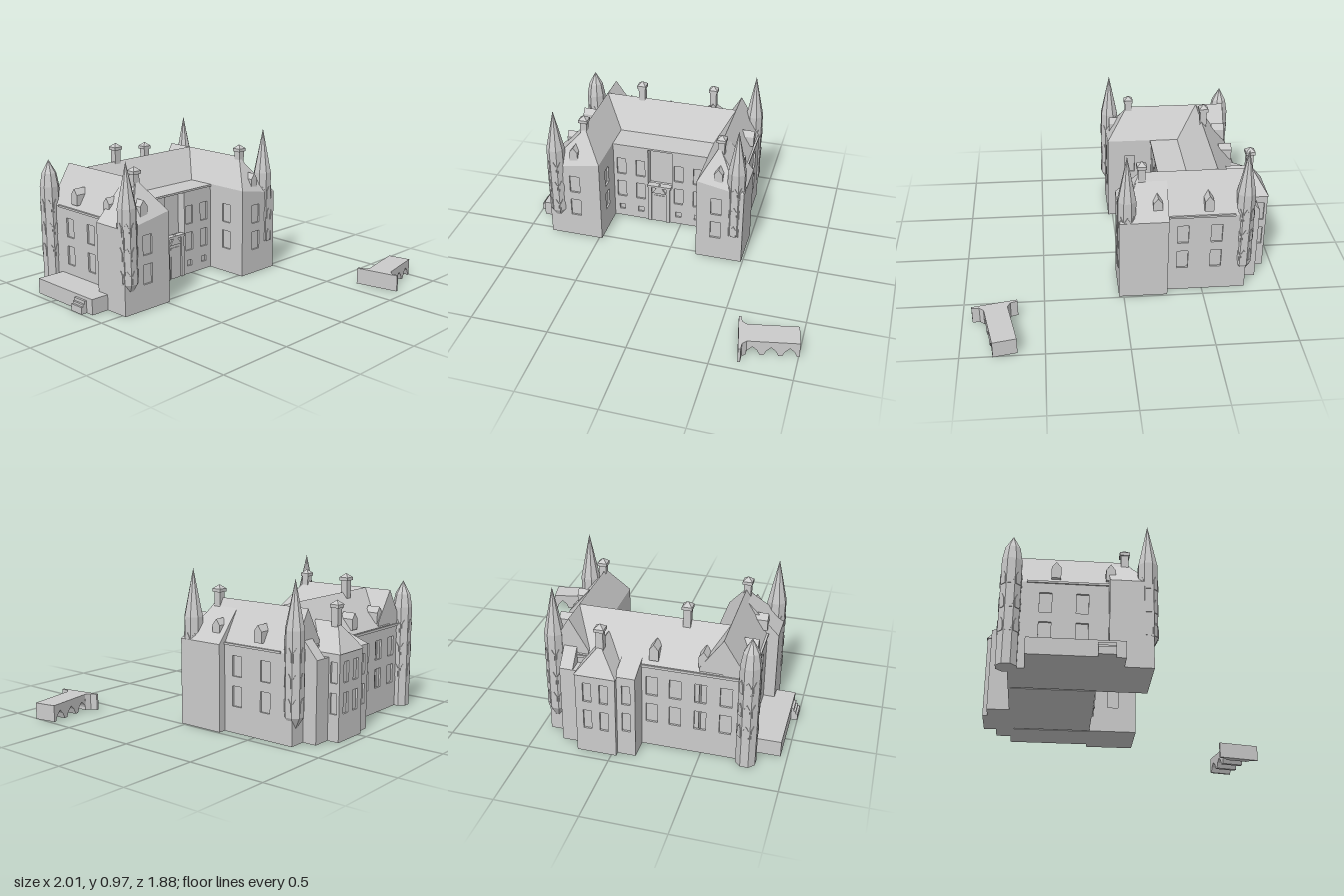
import * as THREE from 'three';
import { ConvexGeometry } from 'three/addons/geometries/ConvexGeometry.js';

export function createModel() {
  const model = new THREE.Group();
  const mat = new THREE.MeshStandardMaterial({ color: 0xcccccc, flatShading: true, side: THREE.DoubleSide });
  const D = 0.012; // window recess

  const add = (name, geo, parent = model) => {
    const m = new THREE.Mesh(geo, mat);
    m.name = name;
    parent.add(m);
    return m;
  };
  const box = (name, x0, x1, y0, y1, z0, z1) => {
    const m = add(name, new THREE.BoxGeometry(x1 - x0, y1 - y0, z1 - z0));
    m.position.set((x0 + x1) / 2, (y0 + y1) / 2, (z0 + z1) / 2);
    return m;
  };
  const hull = (name, pts) => add(name, new ConvexGeometry(pts.map(p => new THREE.Vector3(...p))));
  const poly = pts => new THREE.Shape(pts.map(p => new THREE.Vector2(...p)));
  const extrude = (shape, depth) => new THREE.ExtrudeGeometry(shape, { depth, bevelEnabled: false });
  const rect = (u, y, w, h) => [[u - w / 2, y], [u + w / 2, y], [u + w / 2, y + h], [u - w / 2, y + h]];

  // Two floors of windows at each position along a wall
  const floors = (us, w = 0.07) => us.flatMap(u => [rect(u, 0.165, w, 0.125), rect(u, 0.35, w, 0.125)]);

  // Wall skin from a to b (x, z), left to right as seen from outside
  const wall = (name, a, b, h, holes) => {
    const dx = b[0] - a[0], dz = b[1] - a[1], len = Math.hypot(dx, dz);
    const shape = poly([[0, 0], [len, 0], [len, h], [0, h]]);
    holes.forEach(p => shape.holes.push(poly(p)));
    const geo = extrude(shape, D);
    geo.translate(0, 0, -D);
    const m = add(name, geo);
    m.position.set(a[0], 0, a[1]);
    m.rotation.y = Math.atan2(-dz, dx);
  };

  // Wings: core, outer shoulder, walls, roof
  const wings = [
    { n: 'right', s: -1, inner: -0.48, outer: -0.77, far: -0.84, ridge: -0.615, zs: -0.22 },
    { n: 'left', s: 1, inner: 0.18, outer: 0.44, far: 0.49, ridge: 0.295, zs: -0.275 },
  ];
  for (const { n, s, inner, outer, far, ridge, zs } of wings) {
    const span = (a, b) => [Math.min(a, b), Math.max(a, b)];
    box(n + 'WingCore', ...span(inner + s * D, outer - s * D), 0, 0.54, -0.775 + D, 0.03 - D);
    box(n + 'WingShoulder', ...span(outer - s * 0.05, far - s * D), 0, 0.54, zs, 0.03 - D);
    const [l, r] = span(inner, far);
    wall(n + 'WingFront', [l, 0.03], [r, 0.03], 0.54, floors([(s < 0 ? -0.655 : 0.31) - l]));
    const longWall = (name, x, z0, z1, dir, us) => {
      const a = dir > 0 ? z1 : z0, b = dir > 0 ? z0 : z1;
      wall(name, [x, a], [x, b], 0.54, floors(us.map(z => Math.abs(z - a))));
    };
    longWall(n + 'WingInnerWall', inner, -0.27, 0.03, -s, [-0.12]);
    longWall(n + 'WingOuterWall', outer, -0.775, zs, s, [-0.37, -0.58]);
    longWall(n + 'WingShoulderWall', far, zs, 0.03, s, []);
    box(n + 'WingEave', ...span(outer - s * 0.01, outer + s * 0.008), 0.535, 0.548, -0.69, zs);
    hull(n + 'WingRoof', [
      [inner, 0.54, 0.03], [inner, 0.59, 0.03], [outer, 0.54, 0.03], [ridge, 0.785, -0.11],
      [inner, 0.54, -0.775], [inner, 0.59, -0.775], [outer, 0.54, -0.775], [ridge, 0.785, -0.775]]);
    hull(n + 'ShoulderRoof', [
      [far, 0.54, 0.03], [far, 0.54, zs], [inner + s * 0.05, 0.54, 0.03],
      [ridge, 0.54, zs], [ridge, 0.77, zs], [ridge, 0.77, -0.11]]);
  }

  // Central block with a tall recess over the entrance
  box('centralCore', -0.48, 0.18, 0, 0.58, -0.775 + D, -0.33);
  for (const [x0, x1, us] of [[-0.48, -0.235, [-0.425, -0.29]], [-0.065, 0.18, [-0.02, 0.115]]]) {
    box('centralBay', x0, x1, 0, 0.58, -0.34, -0.27 - D);
    const holes = floors(us.map(x => x - x0), 0.063);
    us.forEach(x => holes.push(rect(x - x0, 0.055, 0.04, 0.04)));
    wall('centralFrontWall', [x0, -0.27], [x1, -0.27], 0.58, holes);
  }
  box('terraceRoof', -0.48, 0.18, 0.575, 0.588, -0.46, -0.262);
  const rx = [-0.615, 0.295];
  hull('centralRoof', rx.flatMap(x => [[x, 0.54, -0.45], [x, 0.588, -0.45], [x, 0.785, -0.59],
    [x, 0.54, -0.775], [x, 0.56, -0.78]]));
  wall('backWall', [0.44, -0.775], [-0.77, -0.775], 0.55, floors([0.64, 0.78, 0.93, 1.08]));
  box('backEave', -0.72, 0.36, 0.54, 0.556, -0.785, -0.76);

  // Entrance porch
  box('porchFill', -0.235, -0.065, 0, 0.285, -0.335, -0.27);
  for (const x of [-0.222, -0.092]) box('porchPilaster', x - 0.012, x + 0.012, 0, 0.28, -0.28, -0.258);
  box('porchCornice', -0.24, -0.072, 0.28, 0.296, -0.3, -0.256);
  box('door', -0.192, -0.115, 0, 0.215, -0.275, -0.266);
  const gable = add('porchGable', extrude(poly([[-0.05, 0], [0.05, 0], [0.035, 0.02], [0, 0.07], [-0.035, 0.02]]), 0.02));
  gable.position.set(-0.155, 0.235, -0.28);

  // Octagonal corner towers with pointed windows
  const pointed = (w, h) => poly([[-w / 2, 0], [w / 2, 0], [w / 2, h * 0.65], [0, h], [-w / 2, h * 0.65]]);
  const tower = (name, x, z, r, bottom, eave, top, blunt) => {
    const g = new THREE.Group();
    g.name = name;
    g.position.set(x, 0, z);
    model.add(g);
    const pts = [[0, bottom], [bottom ? 0.02 : r, bottom], [r, bottom ? bottom + 0.07 : 0.01], [r, eave]];
    if (blunt) pts.push([r * 0.75, eave + (top - eave) * 0.5]);
    pts.push([0, top]);
    const geo = new THREE.LatheGeometry(pts.map(p => new THREE.Vector2(...p)), 8).toNonIndexed();
    geo.computeVertexNormals();
    add('towerShaft', geo, g).rotation.y = Math.PI / 8;
    for (let i = 0; i < 8; i++) for (const y of [0.2, 0.345, 0.495]) {
      const w = extrude(pointed(0.034, 0.085), 0.008);
      w.translate(0, y, r * Math.cos(Math.PI / 8) - 0.004);
      add('towerWindow', w, g).rotation.y = i * Math.PI / 4;
    }
  };
  tower('frontRightTower', -0.785, 0, 0.06, 0.125, 0.665, 0.94);
  tower('frontLeftTower', 0.43, -0.02, 0.06, 0.14, 0.675, 0.97);
  tower('backLeftTower', 0.395, -0.755, 0.059, 0.1, 0.675, 0.965);
  tower('backRightTower', -0.772, -0.78, 0.063, 0, 0.66, 0.83, true);

  // Dormers; angle turns the face outward
  const dormer = (x, y, z, angle) => {
    const geo = extrude(pointed(0.056, 0.105), 0.085);
    geo.translate(0, 0, -0.085);
    const m = add('dormer', geo);
    m.position.set(x, y, z);
    m.rotation.y = angle;
  };
  dormer(-0.66, 0.58, 0.01, 0);
  dormer(0.315, 0.58, 0.01, 0);
  for (const z of [-0.21, -0.525]) {
    dormer(0.442, 0.575, z, Math.PI / 2);
    dormer(-0.77, 0.575, z, -Math.PI / 2);
  }
  for (const x of [-0.5, -0.21]) dormer(x, 0.585, -0.77, Math.PI);

  // Chimneys with pyramid caps
  const chimney = (x, z, y0, top) => {
    box('chimney', x - 0.022, x + 0.022, y0, top - 0.035, z - 0.022, z + 0.022);
    box('chimneyRim', x - 0.03, x + 0.03, top - 0.045, top - 0.025, z - 0.03, z + 0.03);
    const cap = add('chimneyCap', new THREE.ConeGeometry(0.042, 0.025, 4));
    cap.position.set(x, top - 0.0125, z);
    cap.rotation.y = Math.PI / 4;
  };
  chimney(-0.62, -0.12, 0.65, 0.865);
  chimney(0.305, -0.12, 0.65, 0.865);
  chimney(-0.365, -0.6, 0.7, 0.905);
  chimney(0.085, -0.83, 0.6, 0.815);

  // Rear annex: three stepped blocks
  box('annexCore', -0.03 + D, 0.21 - D, 0, 0.53, -0.94 + D, -0.75);
  wall('annexBackWall', [0.21, -0.94], [-0.03, -0.94], 0.53, floors([0.07, 0.17], 0.05));
  wall('annexLeftWall', [0.21, -0.76], [0.21, -0.94], 0.53, floors([0.14], 0.045));
  wall('annexRightWall', [-0.03, -0.94], [-0.03, -0.76], 0.53, []);
  hull('annexRoof', [[-0.035, 0.525, -0.945], [0.215, 0.525, -0.945], [-0.035, 0.525, -0.74],
    [0.215, 0.525, -0.74], [0.085, 0.685, -0.84], [0.085, 0.685, -0.68]]);
  box('annexRightBlock', -0.14, -0.03, 0, 0.53, -0.91 + D, -0.76);
  wall('annexRightBlockWall', [-0.03, -0.91], [-0.14, -0.91], 0.53, floors([0.055], 0.05));
  hull('annexRightRoof', [-0.14, -0.02].flatMap(x => [[x, 0.53, -0.91], [x, 0.53, -0.75], [x, 0.59, -0.75]]));
  box('annexLeftBlock', 0.2, 0.33, 0, 0.5, -0.865, -0.76);
  hull('annexLeftRoof', [0.25, 0.33].flatMap(x => [[x, 0.5, -0.865], [x, 0.5, -0.75], [x, 0.61, -0.77]]));

  // Side platform with steps
  box('sidePlatform', -0.96, -0.76, 0, 0.1, -0.68, -0.135);
  [0.08, 0.06, 0.045].forEach((h, i) => box('step', -0.975 - i * 0.0125, -0.955, 0, h, -0.29, -0.19));

  // Detached bridge on three pointed arches
  const bridge = new THREE.Group();
  bridge.name = 'bridge';
  bridge.position.set(0.645, 0, 0.8);
  bridge.rotation.y = 0.19;
  model.add(bridge);
  const L = 0.353, side = [[0, 0.105], [0, 0]];
  for (const u of [0.075, 0.185, 0.295]) side.push([u - 0.043, 0], [u - 0.028, 0.035], [u, 0.062], [u + 0.028, 0.035], [u + 0.043, 0]);
  side.push([L, 0], [L, 0.105]);
  add('archedSpan', extrude(poly(side), 0.145), bridge).position.z = -0.0725;
  const endPlan = poly([[-0.01, -0.14], [0.006, -0.14], [0.012, -0.095], [0.04, -0.073],
    [0.04, 0.073], [0.012, 0.095], [0.006, 0.14], [-0.01, 0.14]]);
  const end = extrude(endPlan, 0.105);
  end.rotateX(-Math.PI / 2);
  add('flaredEndWall', end, bridge);

  return model;
}
